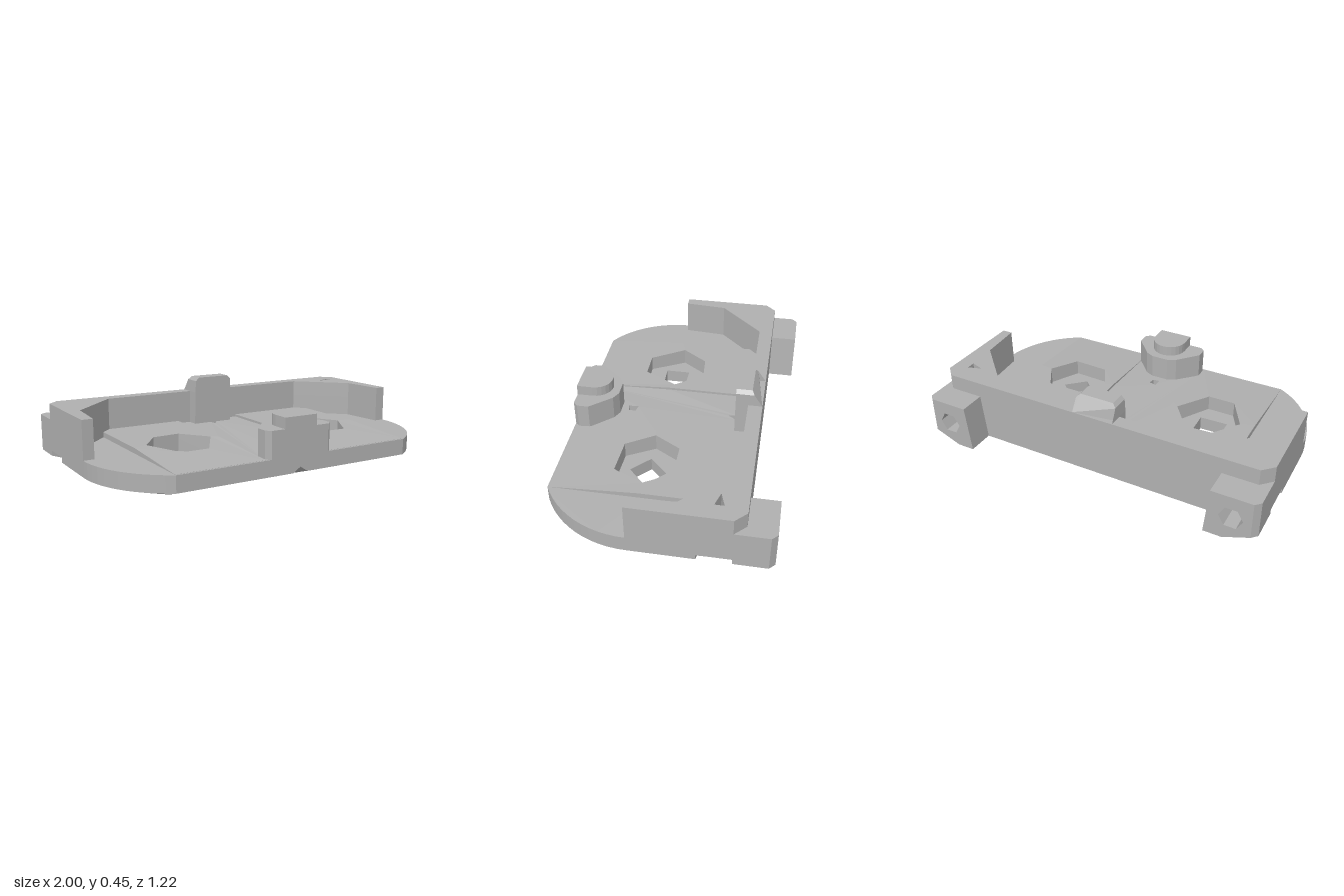
import * as THREE from 'three';

const grey = new THREE.MeshStandardMaterial({ color: 0xb0b0b0, flatShading: true, side: THREE.DoubleSide });
grey.name = 'plain grey';

// plan shape from [x, z] points, with optional holes
function plan(pts, holes = [], sign = -1) {
  const v = (list) => list.map(([x, z]) => new THREE.Vector2(x, z * sign));
  const s = new THREE.Shape(v(pts));
  holes.forEach((h) => s.holes.push(new THREE.Path(v(h))));
  return s;
}

// upright slab between two heights
function slab(pts, y0, y1, holes) {
  const g = new THREE.ExtrudeGeometry(plan(pts, holes), { depth: y1 - y0, bevelEnabled: false });
  return g.rotateX(-Math.PI / 2).translate(0, y0, 0);
}

// flat horizontal face looking up or down
function face(pts, y, holes, down = false) {
  const g = new THREE.ShapeGeometry(plan(pts, holes, down ? 1 : -1));
  return g.rotateX(down ? Math.PI / 2 : -Math.PI / 2).translate(0, y, 0);
}

// side walls through rings given as { y, pts }
function loft(rings) {
  const pos = [];
  for (let r = 0; r + 1 < rings.length; r++) {
    const a = rings[r], b = rings[r + 1], n = a.pts.length;
    for (let i = 0; i < n; i++) {
      const j = (i + 1) % n;
      const P = (q, k) => [q.pts[k][0], q.y, q.pts[k][1]];
      pos.push(...P(a, i), ...P(a, j), ...P(b, j), ...P(a, i), ...P(b, j), ...P(b, i));
    }
  }
  const g = new THREE.BufferGeometry();
  g.setAttribute('position', new THREE.Float32BufferAttribute(pos, 3));
  g.computeVertexNormals();
  return g;
}

// apply a rule to every vertex
function warp(g, rule) {
  const p = g.attributes.position, v = new THREE.Vector3();
  for (let i = 0; i < p.count; i++) {
    v.fromBufferAttribute(p, i);
    rule(v);
    p.setXYZ(i, v.x, v.y, v.z);
  }
  g.computeVertexNormals();
  return g;
}

const mirror = (half) => [...half, ...half.slice().reverse().map(([x, z]) => [-x, z])];

// base outline at height y: chamfered lower edge, front and side notches
function outline(y) {
  const inset = 0.18 * Math.max(0, 1 - y / 0.06);
  const X = 1 - inset, F = 0.61 - inset, r = 0.551 - inset;
  const w = y <= 0.03 ? 0.09 : Math.max(0.001, (0.09 - y) * 1.5);
  const tip = Math.min(F, 0.40 + 0.21 * Math.min(1, y / 0.09));
  const deep = y < 0.089 ? Math.min(X, 0.78) : X;
  const half = [[0.0005, tip], [w, F]];
  const end = Math.asin((F - 0.13) / r);
  for (let i = 0; i <= 12; i++) {
    const a = end * (1 - i / 12);
    half.push([0.449 + r * Math.cos(a), 0.13 + r * Math.sin(a)]);
  }
  half.push([X, -0.22], [deep, -0.28], [deep, -0.40], [X, -0.401], [X, -0.46]);
  return mirror(half);
}

function arch(w, zFront, zBack, zShoulder, steps) {
  const pts = [[-w, zFront], [w, zFront]];
  for (let i = 0; i <= steps; i++) {
    const a = (Math.PI * i) / steps;
    pts.push([w * Math.cos(a), zShoulder - (zShoulder - zBack) * Math.sin(a)]);
  }
  return pts;
}

export function createModel() {
  const model = new THREE.Group();
  const add = (name, geometry) => {
    const m = new THREE.Mesh(geometry, grey);
    m.name = name;
    model.add(m);
    return m;
  };

  // pockets and through holes
  const hexes = [
    [[0.25, 0.12], [0.34, -0.03], [0.55, -0.03], [0.64, 0.12], [0.55, 0.29], [0.34, 0.28]],
    [[-0.64, 0.1], [-0.53, -0.05], [-0.37, -0.06], [-0.25, 0.1], [-0.37, 0.3], [-0.53, 0.3]],
  ];
  const bores = [
    [[0.34, 0.13], [0.445, 0.025], [0.55, 0.13], [0.445, 0.23]],
    [[-0.53, 0.055], [-0.37, 0.06], [-0.365, 0.195], [-0.53, 0.2]],
  ];
  const pins = [
    [[-0.02, -0.31], [0.02, -0.31], [-0.015, -0.26]],
    [[-0.02, 0.28], [0.025, 0.29], [0.02, 0.33], [-0.02, 0.335]],
  ];

  // chamfered base
  const levels = [0, 0.03, 0.06, 0.0885, 0.09, 0.15];
  add('baseSides', loft(levels.map((y) => ({ y, pts: outline(y) }))));
  add('baseUnderside', face(outline(0), 0, [...bores, ...pins], true));
  add('baseTop', face(outline(0.15), 0.15, [...hexes, ...pins]));
  hexes.forEach((hex, i) => {
    add('pocketWalls', loft([{ y: 0.15, pts: hex }, { y: 0.08, pts: hex }]));
    add('pocketFloor', face(hex, 0.08, [bores[i]]));
    add('boreWalls', loft([{ y: 0.08, pts: bores[i] }, { y: 0, pts: bores[i] }]));
  });
  pins.forEach((p) => add('pinHoleWalls', loft([{ y: 0.15, pts: p }, { y: 0, pts: p }])));

  // raised floor panels sloping down to the front
  const panel = (x0, x1, h, holes) => {
    const pts = [[x0, 0.6], [x1, 0.6], [x1, 0.13], [x1, -0.385], [x0, -0.385], [x0, 0.13]];
    return warp(slab(pts, 0.15, 0.16, holes), (v) => {
      if (v.y > 0.155) v.y = 0.151 + h * THREE.MathUtils.clamp((0.6 - v.z) / 0.47, 0, 1);
    });
  };
  add('floorPanelLeft', panel(0.2, 0.72, 0.029, [hexes[0]]));
  add('floorPanelRight', panel(-0.72, -0.21, 0.029, [hexes[1]]));
  add('floorPanelMiddle', panel(-0.21, 0.2, 0.015, pins));

  // surrounding wall, with cut corners above the lugs
  const inner = [[0.66, -0.38], [0.92, -0.12], [0.94, 0.13], [1, 0.13]];
  const wall = (corner) => mirror([...inner, ...corner]);
  const ring = (corner) => {
    const right = [...inner, ...corner];
    const left = right.map(([x, z]) => [-x, z]).reverse();
    return [...right, ...left];
  };
  const arrow = [[0.83, -0.32], [0.91, -0.345], [0.91, -0.295]];
  add('wallLower', slab(wall([[1, -0.46]]), 0.15, 0.27));
  add('wallUpper', slab(ring([[1, -0.40], [0.94, -0.46]]), 0.27, 0.36, [arrow]));

  // rear lugs with hexagonal sockets
  for (const s of [1, -1]) {
    const shape = new THREE.Shape(
      [[0.72, 0], [0.82, 0], [1, 0.06], [1, 0.27], [0.745, 0.27]].map(([x, y]) => new THREE.Vector2(x * s, y)));
    const socket = [];
    for (let i = 0; i < 6; i++) {
      const a = (i * Math.PI) / 3;
      socket.push(new THREE.Vector2(s * 0.86 + 0.065 * Math.cos(a), 0.14 + 0.065 * Math.sin(a)));
    }
    shape.holes.push(new THREE.Path(socket));
    const g = new THREE.ExtrudeGeometry(shape, { depth: 0.15, steps: 5, bevelEnabled: false });
    g.translate(0, 0, -0.61);
    add(s > 0 ? 'lugLeft' : 'lugRight', warp(g, (v) => {
      if (v.z < -0.605) v.x = THREE.MathUtils.clamp(v.x, -0.97, 0.97);
    }));
  }

  // rear catch with sloped back
  const catchShape = new THREE.Shape(
    [[-0.13, 0.15], [0.12, 0.15], [0.12, 0.36], [0.12, 0.43], [0.1, 0.45], [-0.1, 0.45], [-0.12, 0.43], [-0.125, 0.36]]
      .map(([x, y]) => new THREE.Vector2(x, y)));
  const catchGeo = new THREE.ExtrudeGeometry(catchShape, { depth: 0.149, bevelEnabled: false });
  catchGeo.translate(0, 0, -0.459);
  add('rearCatch', warp(catchGeo, (v) => {
    if (v.z < -0.4 && v.y > 0.36) v.z += (v.y - 0.36) * 0.667;
  }));

  // front post in two steps
  const post = mirror([[0.18, 0.61], [0.205, 0.585], [0.205, 0.52], [0.1, 0.4], [0.05, 0.375]]);
  add('frontPost', slab(post, 0.15, 0.30));
  add('frontPostCap', slab(arch(0.1, 0.61, 0.42, 0.52, 12), 0.30, 0.36));

  return model;
}
